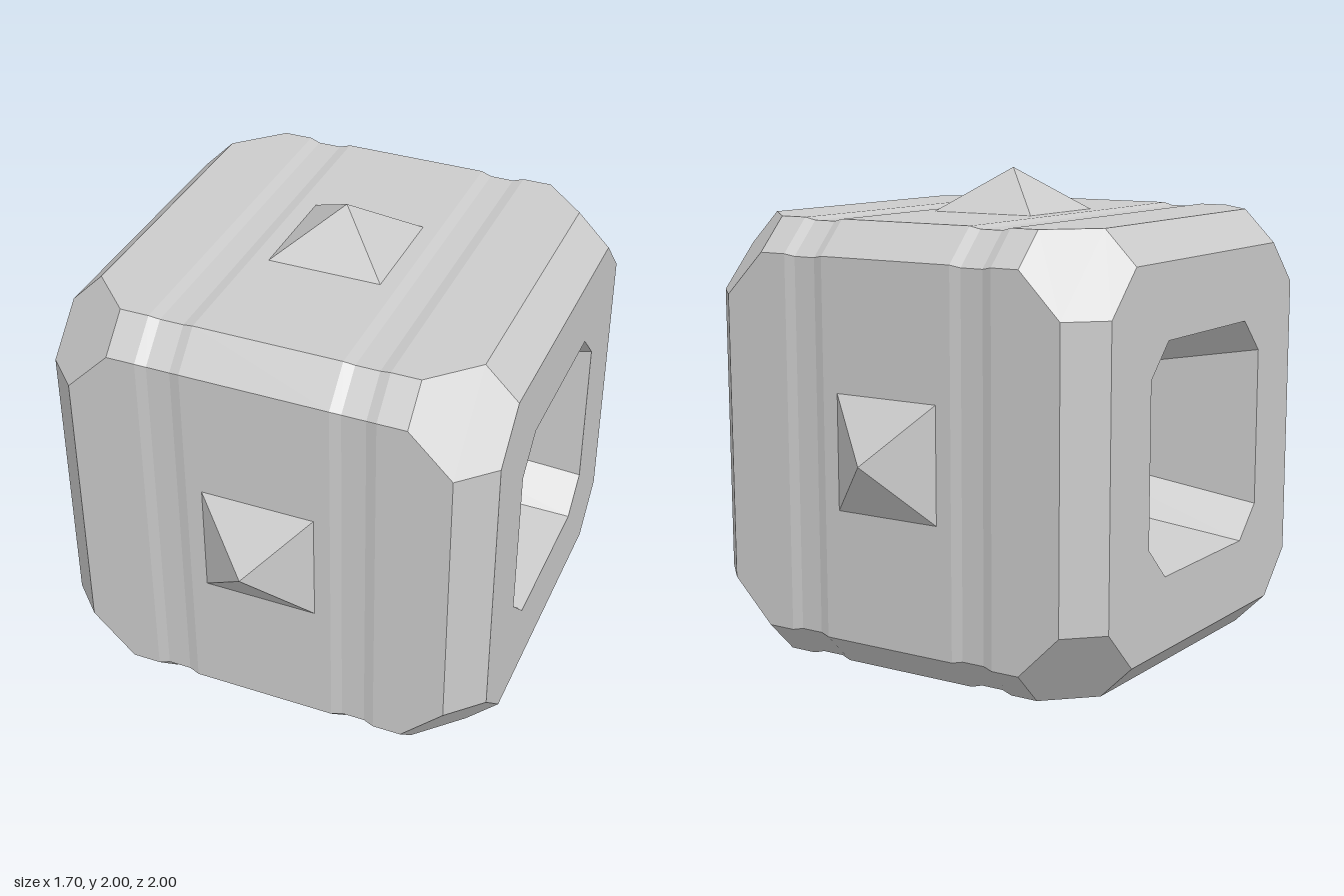
import * as THREE from 'three';

const material = new THREE.MeshStandardMaterial({ color: 0xcccccc });
const flatMaterial = new THREE.MeshStandardMaterial({ color: 0xcccccc, flatShading: true });

// Octagonal ring in the y-z plane at x, with corners (a, b), (b, a) and so on
function octagon([x, a, b]) {
  return [[a, -b], [a, b], [b, a], [-b, a], [-a, b], [-a, -b], [-b, -a], [b, -a]]
    .map(([y, z]) => [x, y, z]);
}

function loft(rings) {
  const pos = [];
  for (let r = 0; r < rings.length - 1; r++) {
    const p = octagon(rings[r]), q = octagon(rings[r + 1]);
    for (let i = 0; i < 8; i++) {
      const j = (i + 1) % 8;
      pos.push(...p[i], ...q[i], ...p[j], ...p[j], ...q[i], ...q[j]);
    }
  }
  const geo = new THREE.BufferGeometry();
  geo.setAttribute('position', new THREE.Float32BufferAttribute(pos, 3));
  geo.computeVertexNormals();
  return geo;
}

export function createModel() {
  const model = new THREE.Group();
  const core = new THREE.Group();
  core.position.y = 1;
  model.add(core);

  function add(name, geo, mat) {
    const mesh = new THREE.Mesh(geo, mat);
    mesh.name = name;
    core.add(mesh);
    return mesh;
  }

  // Chamfered block: tapered tunnel, end face, chamfers and shallow grooves, mirrored in x
  const half = [
    [0, 0.305, 0.165],
    [0.85, 0.43, 0.305],
    [0.85, 0.71, 0.545],
    [0.725, 0.835, 0.545],
    [0.56, 0.835, 0.71],
    [0.45, 0.835, 0.71],
    [0.41, 0.825, 0.702],
    [0.32, 0.825, 0.702],
    [0.28, 0.835, 0.71],
  ];
  const mirrored = half.map(([x, a, b]) => [-x, a, b]).reverse();
  add('block', loft([...half, ...mirrored]), flatMaterial);

  // Ball floating in the tunnel
  add('ball', new THREE.SphereGeometry(0.262, 16, 14), material);

  // Four pyramid studs around the x axis
  const stud = new THREE.ConeGeometry(0.22 * Math.SQRT2, 0.167, 4)
    .rotateY(Math.PI / 4)
    .translate(0, 0.9165, 0);
  ['topStud', 'frontStud', 'bottomStud', 'backStud'].forEach((name, i) => {
    add(name, stud, flatMaterial).rotation.x = i * Math.PI / 2;
  });

  return model;
}
